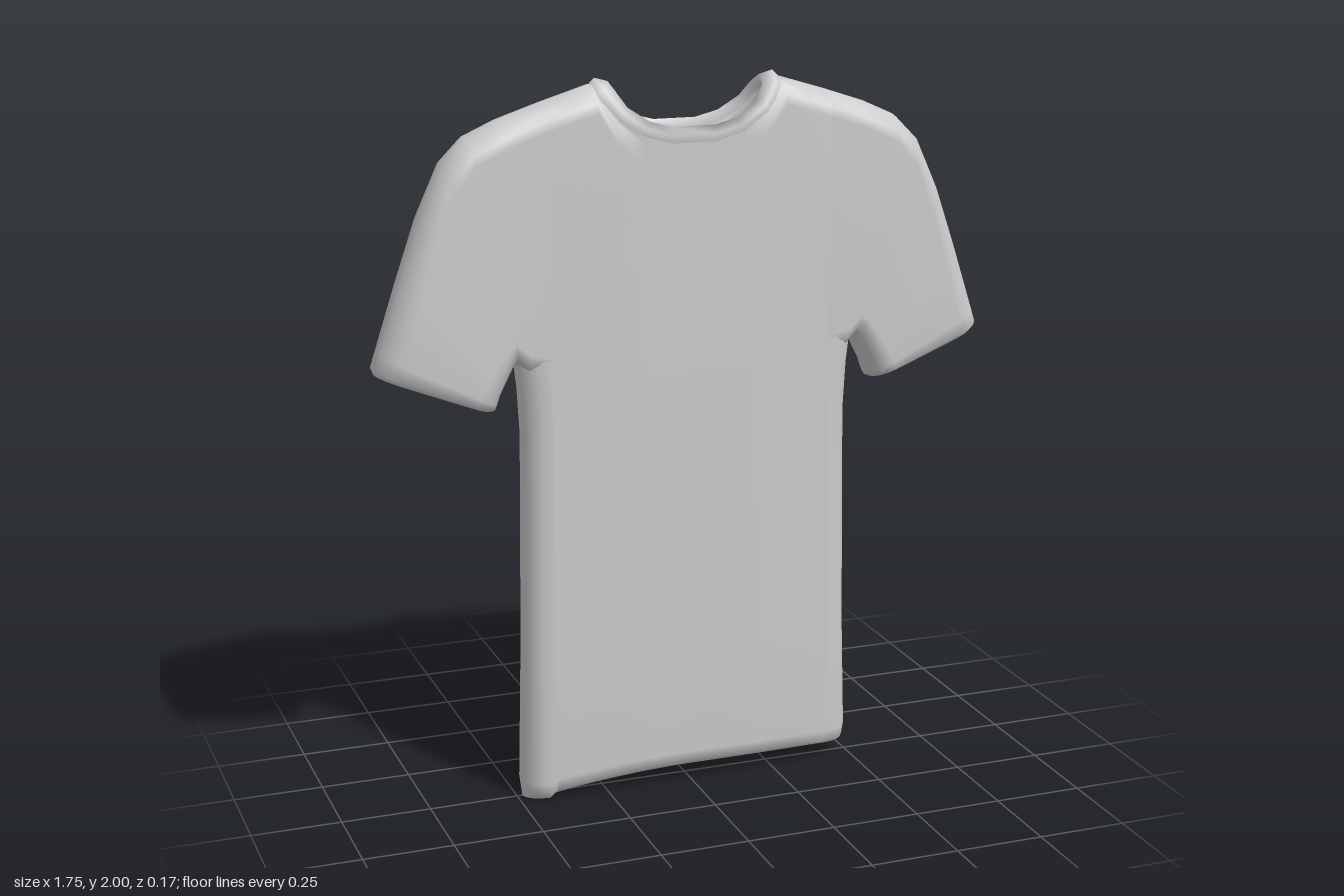
import * as THREE from 'three';
import { mergeVertices } from 'three/addons/utils/BufferGeometryUtils.js';

const DEPTH = 0.081;      // half thickness at the chest
const SEAM = 0.074;       // half thickness where the sleeves begin
const SEAM_X = 0.4;
const ROUND = 0.07;       // length of the rounded edges
const material = new THREE.MeshStandardMaterial({ color: 0xcccccc, side: THREE.DoubleSide });

const hemY = (x) => (x < 0 ? 0.045 - 0.045 * Math.min(1, (x / 0.48) ** 2) : 0.045);
const shoulderY = (x) => 1.985 - (x - 0.265) * 0.3;

// Joins rows of [x, y, z] points into a smooth skin
function skin(name, sheets, closed = false) {
  const pos = [];
  for (const rows of sheets) {
    const n = rows[0].length;
    for (let i = 0; i < rows.length - 1; i++) {
      for (let j = 0; j < (closed ? n : n - 1); j++) {
        const k = (j + 1) % n;
        const a = rows[i][j], b = rows[i + 1][j], c = rows[i + 1][k], d = rows[i][k];
        pos.push(...a, ...b, ...c, ...a, ...c, ...d);
      }
    }
  }
  let geo = new THREE.BufferGeometry();
  geo.setAttribute('position', new THREE.Float32BufferAttribute(pos, 3));
  geo = mergeVertices(geo, 1e-4);
  geo.computeVertexNormals();
  const mesh = new THREE.Mesh(geo, material);
  mesh.name = name;
  return mesh;
}

// Hem roll: height above the hem and share of the full depth
const hemRoll = [[0, 0.6], [0.015, 0.85], [0.05, 1]];

// Front and back panels: columns from hem to neckline or over the shoulder
function torso() {
  const half = [[0, 1.828], [0.06, 1.828], [0.14, 1.85], [0.21, 1.9], [0.265, null], [0.33, null], [SEAM_X, null]];
  const columns = [...half.slice(1).reverse().map(([x, y]) => [-x, y]), ...half];
  const panel = (side) => columns.map(([x, neck]) => {
    const ax = Math.abs(x);
    const d = THREE.MathUtils.lerp(DEPTH, SEAM, Math.max(0, (ax - 0.2) / 0.2));
    const top = neck ?? shoulderY(ax);
    const pts = hemRoll.map(([h, s]) => [x, hemY(x) + h, side * d * s]);
    for (const y of [0.4, 0.8, 1.2, 1.5, 1.7]) pts.push([x, y, side * d]);
    for (let k = 0; k <= 4; k++) {
      const a = (k / 4) * Math.PI / 2;
      pts.push(neck
        ? [x, top - ROUND * (1 - k / 4), side * d]
        : [x, top - ROUND * (1 - Math.sin(a)), k === 4 ? 0 : side * d * Math.cos(a)]);
    }
    return pts;
  });
  // Reverse one panel so both face outward
  return skin('torso', [panel(1).reverse(), panel(-1)]);
}

// Rounded flank between the front and back panels, below the armpit
function flank(side) {
  const row = (y, width, s) => {
    const pts = [[side * SEAM_X, y, SEAM * s]];
    for (let k = 0; k <= 8; k++) {
      const a = Math.PI / 2 - (k / 8) * Math.PI;
      pts.push([side * (width - ROUND + ROUND * Math.cos(a)), y, SEAM * s * Math.sin(a)]);
    }
    pts.push([side * SEAM_X, y, -SEAM * s]);
    return pts;
  };
  const base = hemY(side * 0.48);
  const rows = hemRoll.map(([h, s]) => row(base + h, 0.485 + h * 0.1, s));
  for (const [y, w] of [[0.4, 0.48], [0.8, 0.473], [1.05, 0.47], [1.18, 0.477], [1.265, 0.487]]) rows.push(row(y, w, 1));
  // Bring the inner edge of the hem level with the panels
  rows.slice(0, 3).forEach((r, i) => {
    for (const p of [r[0], r[r.length - 1]]) p[1] = hemY(side * SEAM_X) + hemRoll[i][0];
  });
  return skin(side > 0 ? 'leftFlank' : 'rightFlank', [rows]);
}

// Sleeve: flattened loops from the shoulder seam to the open cuff
function sleeve(side) {
  // underarm x, y, upper edge x, y, half depth
  const sections = [
    [0.4, 1.2, SEAM_X, shoulderY(SEAM_X), SEAM],
    [0.455, 1.215, 0.52, 1.905, 0.076],
    [0.485, 1.25, 0.61, 1.865, 0.077],
    [0.495, 1.24, 0.675, 1.8, 0.078],
    [0.51, 1.21, 0.74, 1.66, 0.079],
    [0.53, 1.17, 0.8, 1.49, 0.08],
    [0.538, 1.145, 0.86, 1.31, 0.08],
    [0.543, 1.13, 0.875, 1.268, 0.072],
    [0.555, 1.125, 0.868, 1.25, 0.055],
  ];
  const rows = sections.map(([bx, by, tx, ty, d]) => {
    const len = Math.hypot(tx - bx, ty - by);
    const loop = [];
    const add = (dist, z) => {
      const t = dist / len;
      loop.push([side * (bx + (tx - bx) * t), by + (ty - by) * t, z]);
    };
    for (let k = 0; k < 16; k++) {
      const a = ((k + 0.0) / 16) * Math.PI * 2;
      const c = Math.cos(a), s = Math.sin(a);
      if (Math.abs(c) < 1e-6) {
        // straight front or back between the rounded edges
        const sg = Math.sign(s);
        add(sg > 0 ? len - ROUND : ROUND, sg * d);
        add(len / 2, sg * d);
        add(sg > 0 ? ROUND : len - ROUND, sg * d);
      } else {
        add(c > 0 ? len - ROUND * (1 - c) : ROUND * (1 + c), d * s);
      }
    }
    return loop;
  });
  return skin(side > 0 ? 'leftSleeve' : 'rightSleeve', [rows], true);
}

// Collar: a narrow raised band around the neck opening
function collar() {
  // quarter of each edge, from the shoulder to the centre
  const outer = [[0.275, 1.978, 0], [0.262, 1.96, 0.045], [0.212, 1.898, 0.076], [0.14, 1.848, 0.08], [0.06, 1.826, 0.08]];
  const crest = [[0.252, 2.0, 0], [0.242, 1.975, 0.052], [0.2, 1.917, 0.082], [0.135, 1.87, 0.086], [0.06, 1.85, 0.086]];
  const inner = [[0.215, 1.99, 0], [0.208, 1.97, 0.038], [0.182, 1.927, 0.064], [0.125, 1.889, 0.075], [0.06, 1.872, 0.076]];
  const lining = inner.map(([x, y, z]) => [x + 0.01, y - 0.03, z]);
  const ring = (q) => {
    const flip = (p, sx, sz) => p.map(([x, y, z]) => [x * sx, y, z * sz]);
    const mid = q.slice(1);
    return [
      ...q,
      ...flip([...mid].reverse(), -1, 1),
      ...flip(q, -1, -1),
      ...flip([...mid].reverse(), 1, -1),
    ];
  };
  return skin('collar', [[outer, crest, inner, lining].map(ring)], true);
}

export function createModel() {
  const shirt = new THREE.Group();
  shirt.name = 'shirt';
  shirt.add(torso(), collar());
  for (const side of [1, -1]) shirt.add(flank(side), sleeve(side));
  return shirt;
}
